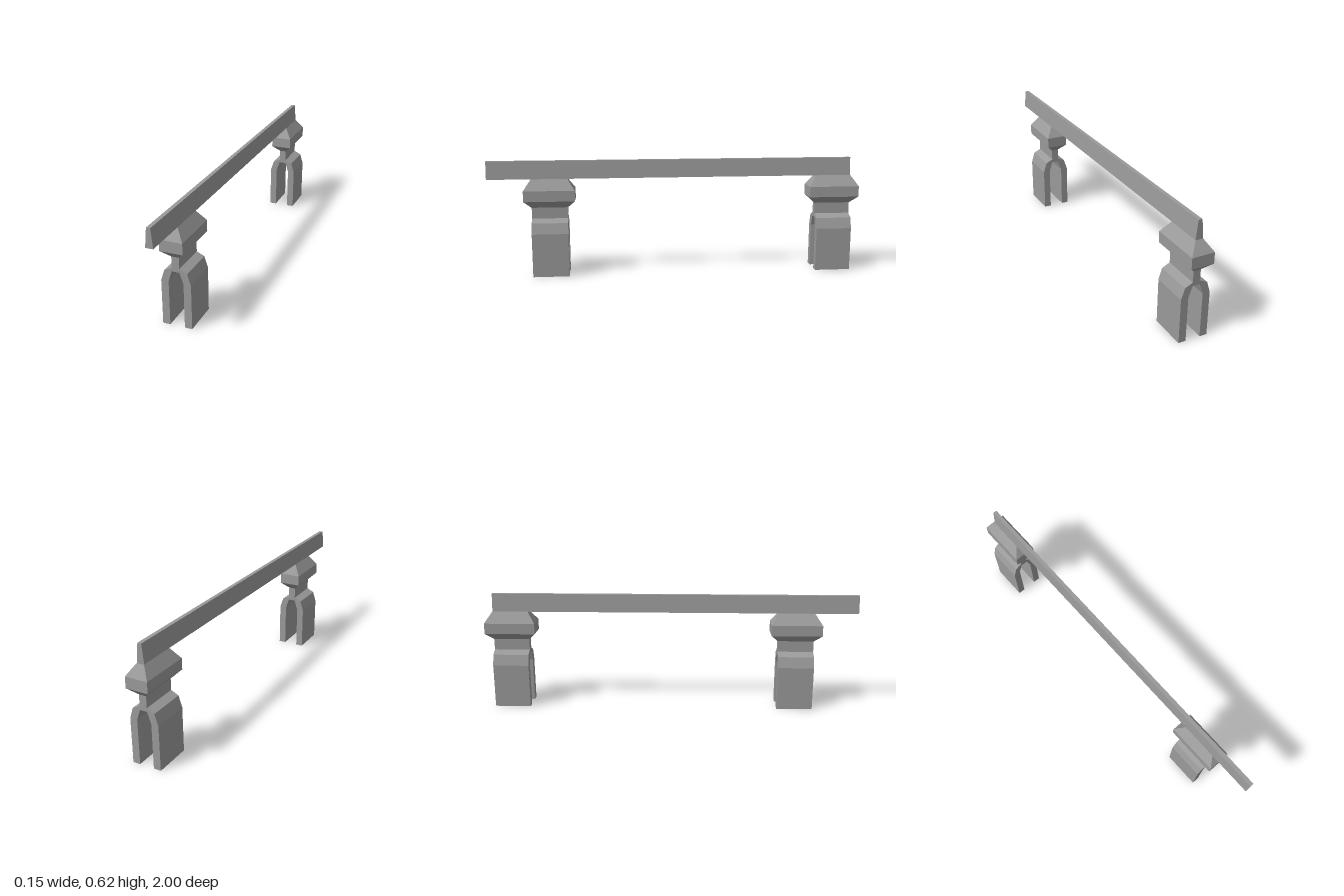
import * as THREE from 'three';

const material = new THREE.MeshStandardMaterial({ color: 0x9a9a9a, flatShading: true, side: THREE.DoubleSide });

// Extrude an x/y outline along z, from z0 to z1
function extrudeZ(points, z0, z1) {
  const shape = new THREE.Shape(points.map(([x, y]) => new THREE.Vector2(x, y)));
  const geometry = new THREE.ExtrudeGeometry(shape, { depth: z1 - z0, bevelEnabled: false });
  return geometry.translate(0, 0, z0);
}

// Remove the flat walls lying at the given heights
function openAt(geometry, heights) {
  const p = geometry.attributes.position;
  const kept = [];
  for (let i = 0; i < p.count; i += 3) {
    const flat = heights.some(h => [0, 1, 2].every(k => Math.abs(p.getY(i + k) - h) < 1e-4));
    if (!flat) for (let k = 0; k < 3; k++) kept.push(p.getX(i + k), p.getY(i + k), p.getZ(i + k));
  }
  const open = new THREE.BufferGeometry();
  open.setAttribute('position', new THREE.Float32BufferAttribute(kept, 3));
  open.computeVertexNormals();
  return open;
}

// Uncapped skin through stacked rectangles [y, halfX, halfZ]
function loftRectangles(levels) {
  const positions = [];
  const index = [];
  for (const [y, hx, hz] of levels) positions.push(-hx, y, hz, hx, y, hz, hx, y, -hz, -hx, y, -hz);
  for (let l = 0; l < levels.length - 1; l++) {
    for (let s = 0; s < 4; s++) {
      const a = l * 4 + s, b = l * 4 + (s + 1) % 4;
      index.push(a, b, b + 4, a, b + 4, a + 4);
    }
  }
  const geometry = new THREE.BufferGeometry();
  geometry.setAttribute('position', new THREE.Float32BufferAttribute(positions, 3));
  geometry.setIndex(index);
  const flat = geometry.toNonIndexed();
  flat.computeVertexNormals();
  return flat;
}

function part(name, geometry) {
  const mesh = new THREE.Mesh(geometry, material);
  mesh.name = name;
  return mesh;
}

export function createModel() {
  const model = new THREE.Group();
  model.name = 'railOnForkedPosts';

  // Long tapered rail
  model.add(part('rail', extrudeZ(
    [[-0.019, 0.52], [0.019, 0.52], [0.01, 0.616], [-0.01, 0.616]], -0.96, 1)));

  // Two-legged fork with a narrow stem, hollow at the feet
  const half = [[0.019, 0.289], [0.038, 0.233], [0.038, 0], [0.076, 0],
    [0.076, 0.233], [0.058, 0.289], [0.019, 0.308], [0.019, 0.367]];
  const mirrored = half.map(([x, y]) => [-x, y]).reverse();
  const fork = openAt(extrudeZ([...half, ...mirrored], -0.096, 0.096), [0, 0.367]);

  // Bevelled block between stem and rail
  const head = loftRectangles([
    [0.367, 0.019, 0.096], [0.405, 0.058, 0.135], [0.462, 0.058, 0.135], [0.52, 0.019, 0.096]]);

  for (const [name, z] of [['frontPost', 0.673], ['backPost', -0.865]]) {
    const post = new THREE.Group();
    post.name = name;
    post.add(part('fork', fork), part('head', head));
    post.position.z = z;
    model.add(post);
  }
  return model;
}
